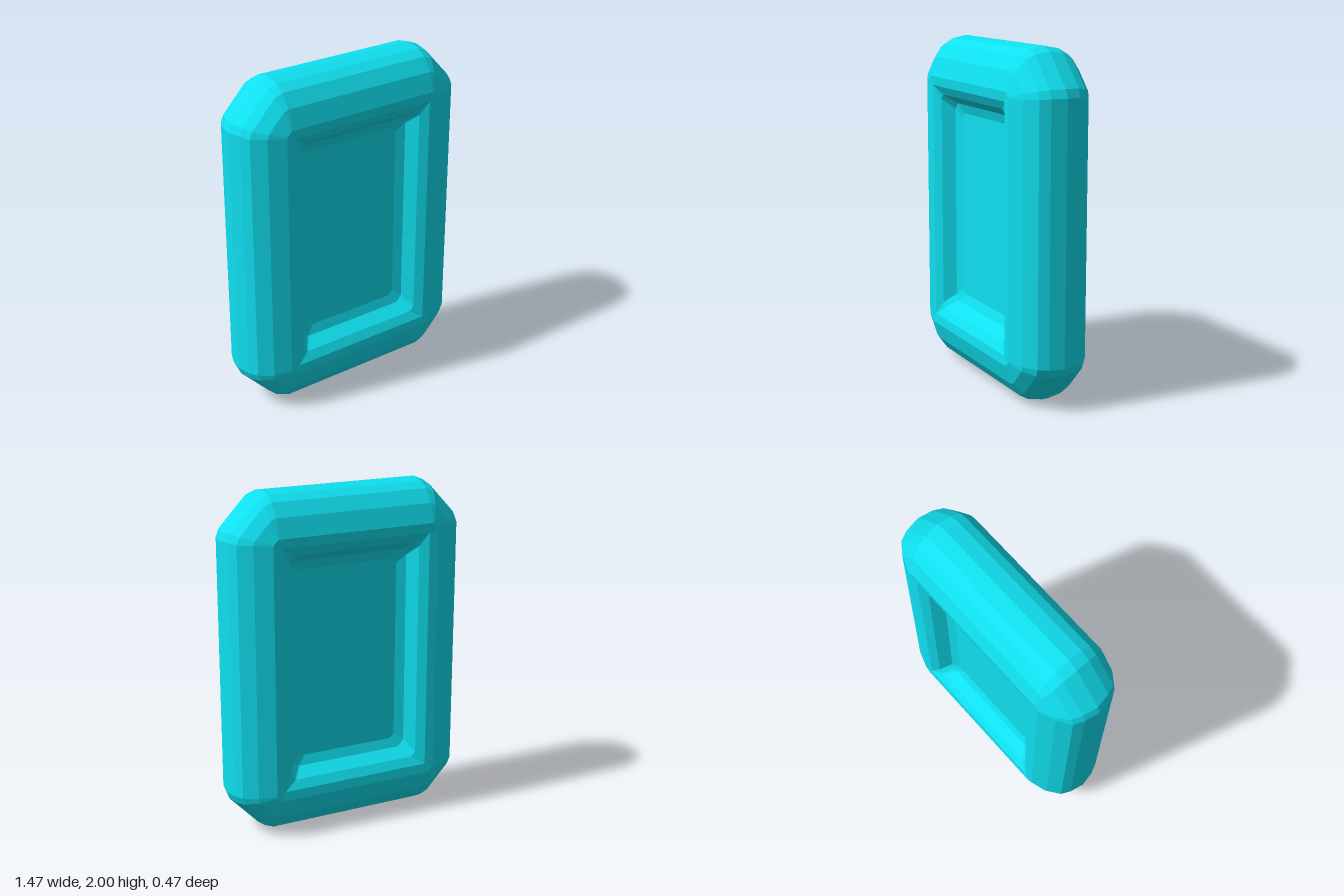
import * as THREE from 'three';

// Closed rectangle with bevelled corners, counter-clockwise seen from +z
// a, b: half width and half height; k: corner cut scale; z: depth
function ring([a, b, z, k]) {
  const corner = [[a, b - 0.26 * k], [a - 0.02 * k, b - 0.21 * k],
    [a - 0.195 * k, b - 0.025 * k], [a - 0.255 * k, b]];
  const flipped = [...corner].reverse();
  return [
    ...corner,
    ...flipped.map(([x, y]) => [-x, y]),
    ...corner.map(([x, y]) => [-x, -y]),
    ...flipped.map(([x, y]) => [x, -y]),
  ].map(([x, y]) => new THREE.Vector3(x, y + 1, z));
}

// Skin consecutive rings, leaving out collapsed triangles
function loft(sections) {
  const rings = sections.map(ring);
  const pos = [];
  const tri = (a, b, c) => {
    const area = b.clone().sub(a).cross(c.clone().sub(a)).length();
    if (area > 1e-7) for (const p of [a, b, c]) pos.push(p.x, p.y, p.z);
  };
  for (let i = 0; i < rings.length - 1; i++) {
    const r = rings[i], s = rings[i + 1];
    for (let j = 0; j < r.length; j++) {
      const n = (j + 1) % r.length;
      tri(r[j], s[j], s[n]);
      tri(r[j], s[n], r[n]);
    }
  }
  const geo = new THREE.BufferGeometry();
  geo.setAttribute('position', new THREE.Float32BufferAttribute(pos, 3));
  geo.computeVertexNormals();
  return geo;
}

export function createModel() {
  const group = new THREE.Group();
  const material = new THREE.MeshStandardMaterial({ color: 0x10e0f0, flatShading: true });
  const add = (name, geo) => {
    const mesh = new THREE.Mesh(geo, material);
    mesh.name = name;
    group.add(mesh);
    return mesh;
  };

  // Rounded frame: front lip, over the outer edge, mirrored to the back lip
  const half = [
    [0.46, 0.71, 0.23, 0],
    [0.515, 0.765, 0.235, 0.14],
    [0.615, 0.875, 0.2, 0.53],
    [0.69, 0.95, 0.145, 0.82],
    [0.717, 0.983, 0.088, 0.93],
  ];
  const back = [...half].reverse().map(([a, b, z, k]) => [a, b, -z, k]);
  add('frame', loft([...half, [0.735, 1, 0, 1], ...back]));

  // Recessed coves and flat panels, one on each face
  const cove = loft([
    [0.31, 0.555, 0.11, 0.12],
    [0.365, 0.61, 0.13, 0.16],
    [0.41, 0.66, 0.2, 0.12],
    [0.46, 0.71, 0.23, 0],
  ]);
  const panel = loft([[0, 0, 0.11, 0], [0.31, 0.555, 0.11, 0.12]]);
  [['front', 0], ['back', Math.PI]].forEach(([side, turn]) => {
    add(side + 'Cove', cove).rotation.y = turn;
    add(side + 'Panel', panel).rotation.y = turn;
  });

  return group;
}
